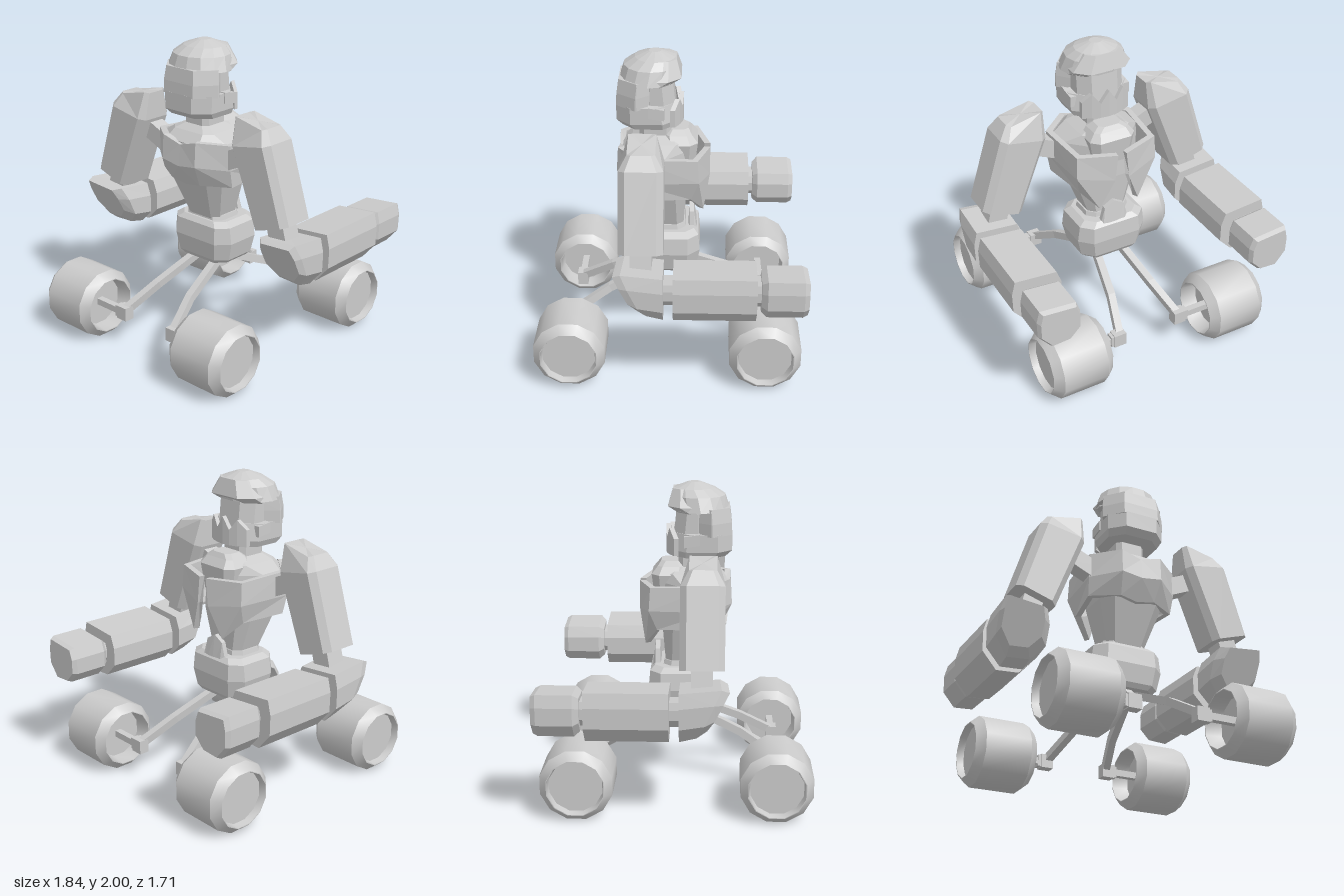
import * as THREE from 'three';
import { toCreasedNormals } from 'three/addons/utils/BufferGeometryUtils.js';

const flat = new THREE.MeshStandardMaterial({ color: 0xcccccc, flatShading: true });
const smooth = new THREE.MeshStandardMaterial({ color: 0xcccccc });

// Closed solid through rings of [x, y, z] points, capped at both ends, faces outward
function loft(name, rings) {
  const n = rings[0].length, tris = [];
  const mid = (r) => [0, 1, 2].map((k) => r.reduce((a, p) => a + p[k], 0) / n);
  const first = rings[0], last = rings[rings.length - 1];
  const c0 = mid(first), c1 = mid(last);
  for (let j = 0; j < n; j++) {
    const k = (j + 1) % n;
    for (let i = 0; i < rings.length - 1; i++) {
      const a = rings[i], b = rings[i + 1];
      tris.push([a[j], a[k], b[k]], [a[j], b[k], b[j]]);
    }
    tris.push([c0, first[k], first[j]], [c1, last[j], last[k]]);
  }
  const v = (p) => new THREE.Vector3(...p);
  const volume = tris.reduce((s, [a, b, c]) => s + v(a).sub(v(c0)).dot(v(b).sub(v(c0)).cross(v(c).sub(v(c0)))), 0);
  if (volume < 0) tris.forEach((t) => t.reverse());
  const geo = new THREE.BufferGeometry();
  geo.setAttribute('position', new THREE.Float32BufferAttribute(tris.flat(2), 3));
  geo.computeVertexNormals();
  const mesh = new THREE.Mesh(geo, flat);
  mesh.name = name;
  return mesh;
}

// Horizontal octagon at height y
const oct = (y, hx, z0, z1, cx = 0.06, cz = cx) => [
  [hx, y, z0 + cz], [hx, y, z1 - cz], [hx - cx, y, z1], [cx - hx, y, z1],
  [-hx, y, z1 - cz], [-hx, y, z0 + cz], [cx - hx, y, z0], [hx - cx, y, z0]];

// Horizontal ellipse at height y
const oval = (y, hx, z0, z1, n = 14) => Array.from({ length: n }, (_, i) => {
  const a = ((i + 0.5) / n) * Math.PI * 2;
  return [hx * Math.sin(a), y, (z0 + z1) / 2 + ((z1 - z0) / 2) * Math.cos(a)];
});

const flip = (s, rings) => rings.map((r) => r.map(([x, y, z]) => [s * x, y, z]));

// Square bar through points; u and w span its section
const bar = (name, s, pts, u, w) => loft(name, flip(s, pts.map((p) =>
  [[-1, -1], [1, -1], [1, 1], [-1, 1]].map(([a, b]) => p.map((c, k) => c + a * u[k] + b * w[k])))));

function wheel(s, z) {
  const pts = [[0, -0.1], [0.165, -0.1], [0.18, -0.21], [0.185, -0.21], [0.233, -0.155],
    [0.233, 0.155], [0.185, 0.21], [0.18, 0.21], [0.17, 0.165], [0, 0.165]];
  const geo = new THREE.LatheGeometry(pts.map((p) => new THREE.Vector2(...p)), 12, Math.PI / 12);
  const m = new THREE.Mesh(toCreasedNormals(geo, 0.6), smooth);
  m.name = 'wheel';
  m.rotation.z = -s * Math.PI / 2;
  m.position.set(s * 0.575, 0.225, z);
  return m;
}

function leg(s, f) {
  const g = new THREE.Group(), z = f > 0 ? 0.63 : -0.61, zc = 0.015;
  g.name = f > 0 ? 'backLeg' : 'frontLeg';
  g.add(wheel(s, z),
    bar('strut', s, [[0.08, 0.535, zc + f * 0.02], [0.15, 0.375, zc + f * 0.39], [0.22, 0.24, z]],
      [0.025, 0, 0], [0, 0.022, f * 0.012]),
    bar('hub', s, [[0.185, 0.225, z], [0.27, 0.225, z]], [0, 0.045, 0], [0, 0, 0.035]),
    bar('hubNeck', s, [[0.27, 0.225, z], [0.29, 0.225, z]], [0, 0.038, 0], [0, 0, 0.028]),
    bar('axle', s, [[0.28, 0.225, z], [0.48, 0.225, z]], [0, 0.022, 0], [0, 0, 0.022]));
  return g;
}

function arm(s) {
  const g = new THREE.Group();
  g.name = s > 0 ? 'leftArm' : 'rightArm';
  // Upper arm, tilted outward: local across/along to model space
  const [si, co] = [Math.sin(0.31), Math.cos(0.31)];
  const at = (a, h, z) => [0.70 + a * co - h * si, 0.968 + a * si + h * co, 0.165 + z];
  const ring = (x0, x1, hz, c, h0, h1) => [
    [x0, c - hz, h0], [x0, hz - c, h0], [x0 + c, hz, h0], [x1 - c, hz, h1],
    [x1, hz - c, h1], [x1, c - hz, h1], [x1 - c, -hz, h1], [x0 + c, -hz, h0]]
    .map(([a, z, h]) => at(a, h, z));
  g.add(loft('upperArm', flip(s, [ring(-0.14, 0.14, 0.135, 0.04, 0, 0),
    ring(-0.17, 0.143, 0.135, 0.04, 0.53, 0.5), ring(-0.118, 0.112, 0.085, 0.025, 0.7, 0.595)])));
  g.add(bar('elbowPin', s, [at(0, 0.05, 0), at(-0.01, -0.16, 0)], [0.065 * co, 0.065 * si, 0], [0, 0, 0.065]));
  g.add(bar('shoulderPin', s, [[0.2, 1.25, 0.155], [0.46, 1.365, 0.155]], [0, 0.065, 0], [0, 0, 0.055]));

  // Forearm parts share one section, scaled about its centre
  const sec = [[0.62, 0.865], [0.9, 0.89], [0.922, 0.8], [0.918, 0.67], [0.825, 0.56],
    [0.675, 0.57], [0.588, 0.66], [0.588, 0.78]];
  const slice = (z, k, dx = 0, dy = 0, lean = 0) => sec.map(([x, y]) =>
    [0.755 + (x - 0.755) * k + dx, 0.728 + (y - 0.728) * k + dy, z + lean * (y - 0.728)]);
  const part = (name, ...r) => g.add(loft(name, flip(s, r)));
  part('elbow', slice(0.03, 1), slice(0.21, 1, 0, 0.025, 0.45), slice(0.265, 0.8, 0.02, 0.04, 0.4));
  part('forearmJoint', slice(0.05, 0.5), slice(-0.05, 0.5));
  part('forearm', slice(-0.03, 1), slice(-0.535, 1));
  part('wrist', slice(-0.52, 0.5), slice(-0.6, 0.5));
  part('fist', slice(-0.565, 0.68), slice(-0.6, 0.86), slice(-0.82, 0.86), slice(-0.85, 0.77));
  return g;
}

function chestShell(s) {
  // Columns from spine round to breast: top, middle, bottom
  const cols = [
    [[0, 1.36, 0.33], [0, 1.22, 0.345], [0, 1.08, 0.27]],
    [[0.14, 1.4, 0.335], [0.14, 1.24, 0.345], [0.12, 1.1, 0.28]],
    [[0.31, 1.385, 0.2], [0.31, 1.22, 0.2], [0.3, 1.1, 0.17]],
    [[0.28, 1.37, -0.17], [0.285, 1.22, -0.18], [0.25, 1.09, -0.13]],
    [[0.03, 1.36, -0.25], [0.05, 1.18, -0.25], [0.14, 0.97, -0.21]]];
  const inset = ([x, y, z]) => [x * 0.87, y, 0.05 + (z - 0.05) * 0.87];
  return loft('chestShell', flip(s, cols.map(([t, m, b]) => [t, m, b, inset(b), inset(m), inset(t)])));
}

function head() {
  const g = new THREE.Group();
  g.name = 'head';
  g.add(loft('neck', [oct(1.38, 0.1, 0, 0.2, 0.03), oct(1.58, 0.1, 0, 0.2, 0.03)]));
  g.add(loft('skullCap', [oval(1.83, 0.224, -0.04, 0.328), oval(1.92, 0.192, -0.05, 0.3),
    oval(1.965, 0.14, -0.03, 0.23), oval(2.0, 0.04, 0.06, 0.14)]));
  g.add(loft('brow', [oct(1.82, 0.2, 0.0, 0.2, 0.08), oct(1.86, 0.2, -0.065, 0.2, 0.08),
    oct(1.965, 0.12, -0.035, 0.2, 0.05)]));
  g.add(loft('helmetBack', [oct(1.68, 0.224, 0.09, 0.342, 0.1, 0.12), oct(1.76, 0.224, 0.09, 0.338, 0.1, 0.12),
    oct(1.85, 0.215, 0.09, 0.325, 0.1, 0.12)]));
  g.add(loft('jaw', [oct(1.54, 0.18, -0.03, 0.3, 0.08), oct(1.58, 0.2, -0.04, 0.342, 0.09),
    oct(1.69, 0.203, -0.01, 0.342, 0.09)]));
  g.add(loft('face', [oct(1.6, 0.16, -0.035, 0.2, 0.07), oct(1.85, 0.16, -0.01, 0.2, 0.07)]));
  // Mouth guard with a zigzag upper edge
  const tops = [1.66, 1.72, 1.65, 1.73, 1.65, 1.72, 1.66];
  g.add(loft('mouthGuard', tops.map((t, i) => {
    const x = (i - 3) * 0.055, z = -0.08 + 2.0 * x * x;
    return [[x, t, z], [x, 1.55, z], [x, 1.55, z + 0.03], [x, t, z + 0.03]];
  })));
  for (const s of [-1, 1])
    g.add(bar('cheekGuard', s, [[0.185, 1.66, 0.14], [0.185, 1.645, 0.04]], [0.025, 0, 0], [0, 0.035, 0]));
  return g;
}

export function createModel() {
  const root = new THREE.Group();
  root.name = 'wheeledRobot';

  // Hips and waist
  root.add(loft('pelvis', [oct(0.53, 0.19, -0.15, 0.16), oct(0.56, 0.222, -0.17, 0.18, 0.07),
    oct(0.68, 0.25, -0.19, 0.2, 0.08), oct(0.79, 0.235, -0.18, 0.19, 0.07), oct(0.82, 0.19, -0.15, 0.16)]));
  root.add(loft('waist', [oct(0.79, 0.165, -0.1, 0.15, 0.05), oct(0.85, 0.15, -0.09, 0.14, 0.05)]));
  root.add(loft('pelvisCrest', [[-0.1, 0.8], [-0.07, 0.91], [0, 0.95], [0.07, 0.91], [0.1, 0.8]].map(([x, y]) =>
    [[x, y, -0.15], [x, 0.72, -0.18], [x, 0.72, -0.11], [x, y, -0.12]])));

  // Trunk inside the chest armour
  root.add(loft('torso', [oct(0.82, 0.13, -0.08, 0.14, 0.04), oct(1.1, 0.22, -0.1, 0.25, 0.07),
    oct(1.37, 0.27, -0.09, 0.31, 0.13), oct(1.43, 0.17, -0.08, 0.25, 0.05), oct(1.465, 0.1, -0.04, 0.2, 0.03)]));
  root.add(loft('collar', [oct(1.25, 0.13, -0.15, 0.05, 0.04), oct(1.42, 0.16, -0.17, 0.05, 0.05),
    oct(1.47, 0.12, -0.13, 0.04, 0.03), oct(1.5, 0.08, -0.11, 0.02, 0.03)]));
  root.add(head());

  for (const s of [1, -1]) root.add(chestShell(s), arm(s), leg(s, 1), leg(s, -1));
  return root;
}
